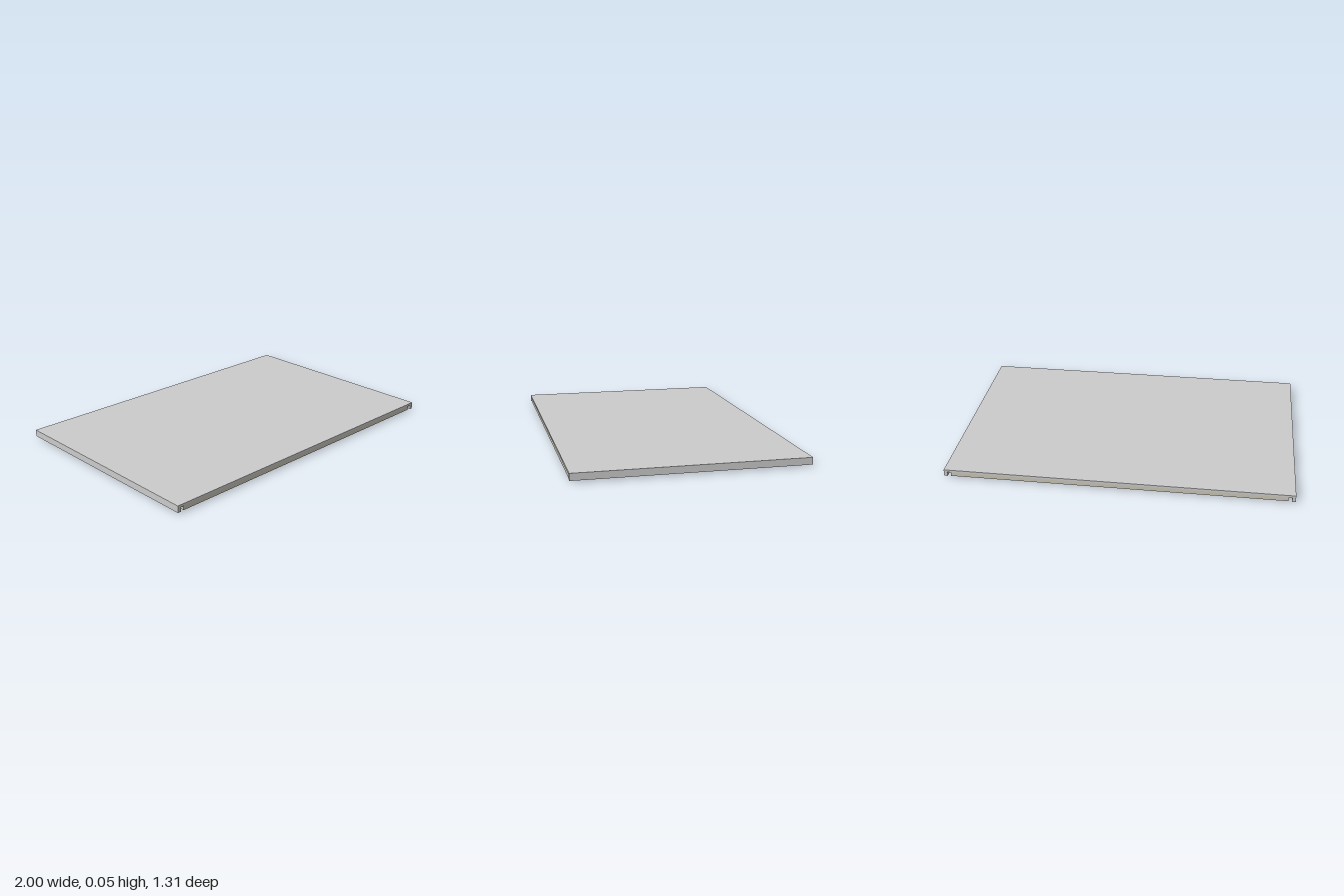
import * as THREE from 'three';

const grey = new THREE.MeshStandardMaterial({ color: 0xcccccc });
const beige = new THREE.MeshStandardMaterial({ color: 0xcac6b6 });

export function createModel() {
  const model = new THREE.Group();

  // box given by its limits on each axis
  function box(name, [x0, x1], [y0, y1], [z0, z1], material = grey, parent = model) {
    const mesh = new THREE.Mesh(new THREE.BoxGeometry(x1 - x0, y1 - y0, z1 - z0), material);
    mesh.position.set((x0 + x1) / 2, (y0 + y1) / 2, (z0 + z1) / 2);
    mesh.name = name;
    parent.add(mesh);
    return mesh;
  }

  // short upright cylinder
  function disc(name, x, z, radius, y0, y1, material, parent) {
    const mesh = new THREE.Mesh(new THREE.CylinderGeometry(radius, radius, y1 - y0, 24), material);
    mesh.position.set(x, (y0 + y1) / 2, z);
    mesh.name = name;
    parent.add(mesh);
  }

  // rectangle path centred on the origin
  function rectangle(target, hx, hz) {
    target.moveTo(-hx, -hz);
    target.lineTo(hx, -hz);
    target.lineTo(hx, hz);
    target.lineTo(-hx, hz);
    target.closePath();
    return target;
  }

  // top plate with a flange hanging down at each end
  box('topPlate', [-1, 1], [0.036, 0.05], [-0.655, 0.655]);
  box('leftFlange', [0.98, 1], [0.01, 0.036], [-0.655, 0.655]);
  box('rightFlange', [-1, -0.98], [0.01, 0.036], [-0.655, 0.655]);

  // front and back underside strips with a row of low round pads
  for (const side of [1, -1]) {
    const strip = new THREE.Group();
    strip.name = side > 0 ? 'frontStrip' : 'backStrip';
    const z = side > 0 ? [0.395, 0.652] : [-0.652, -0.395];
    box('stripPanel', [-0.96, 0.96], [0.01, 0.036], z, beige, strip);
    for (let i = -3; i <= 3; i++) disc('pad', i * 0.264, side * 0.545, 0.027, 0.007, 0.012, beige, strip);
    model.add(strip);
  }

  // centre panel with a shallow recess
  const outline = rectangle(new THREE.Shape(), 0.96, 0.292);
  outline.holes.push(rectangle(new THREE.Path(), 0.58, 0.12));
  const panelGeometry = new THREE.ExtrudeGeometry(outline, { depth: 0.022, bevelEnabled: false });
  panelGeometry.rotateX(-Math.PI / 2);
  const panel = new THREE.Mesh(panelGeometry, beige);
  panel.position.y = 0.014;
  panel.name = 'centrePanel';
  model.add(panel);
  box('recessFloor', [-0.58, 0.58], [0.024, 0.036], [-0.12, 0.12]);

  // narrow channel rail under the centre, held by four screws
  const rail = new THREE.Group();
  rail.name = 'centreRail';
  box('railWeb', [-0.725, 0.725], [0.009, 0.025], [-0.018, 0.018], beige, rail);
  for (const side of [1, -1]) {
    const a = side * 0.018, b = side * 0.014;
    box('railLip', [-0.725, 0.725], [0.004, 0.009], [Math.min(a, b), Math.max(a, b)], beige, rail);
    for (const x of [0.175, 0.525]) disc('screwHead', side * x, 0, 0.013, 0, 0.01, grey, rail);
  }
  model.add(rail);

  return model;
}
